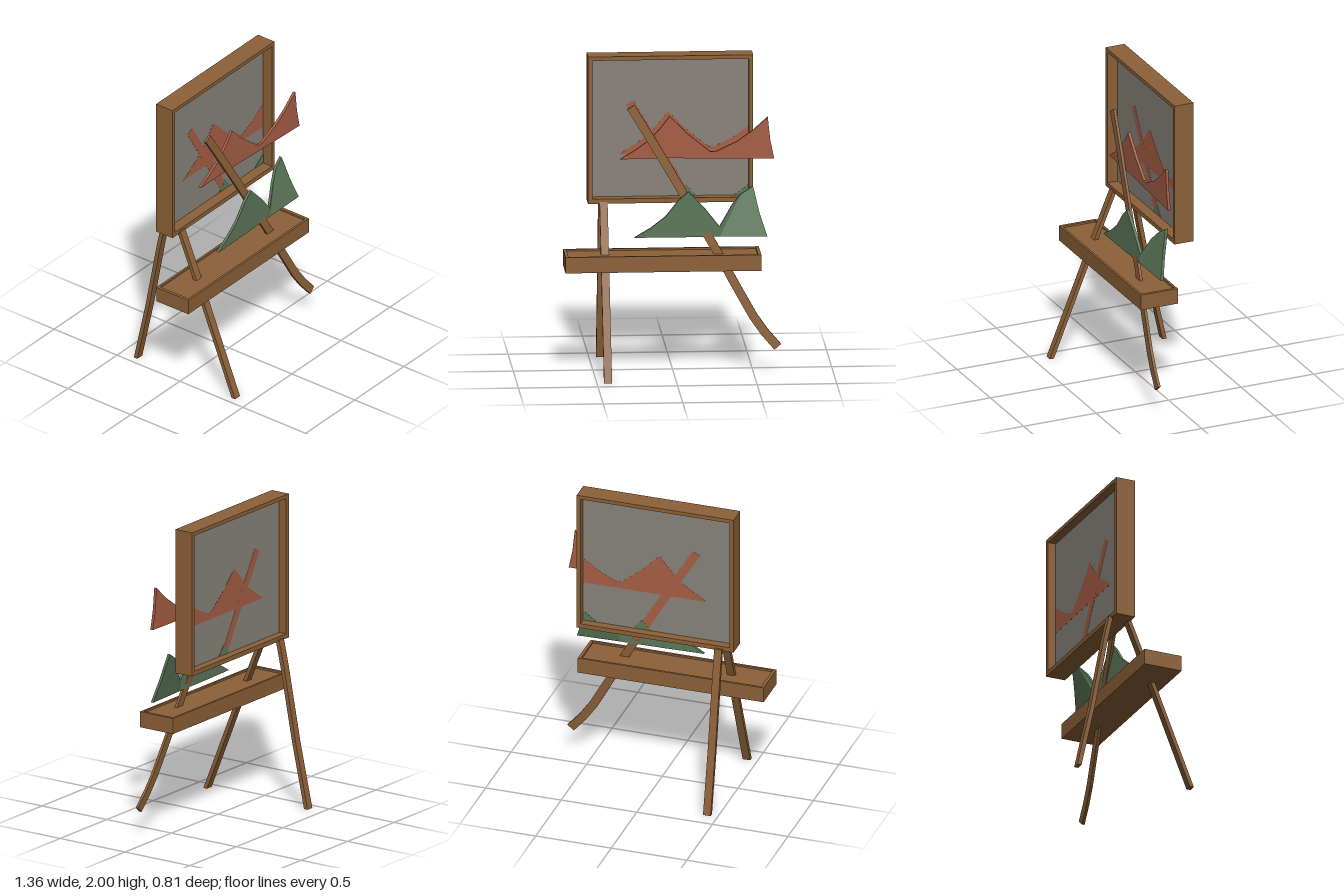
import * as THREE from 'three';

const mat = (name, color) => {
  const m = new THREE.MeshStandardMaterial({ color });
  m.name = name;
  return m;
};

// Closed outline extruded along z, centred on z = 0, then each point shifted in z by a rule
function slab(points, thickness, shift = () => 0, hole = null) {
  const shape = new THREE.Shape(points.map(([x, y]) => new THREE.Vector2(x, y)));
  if (hole) shape.holes.push(new THREE.Path(hole.map(([x, y]) => new THREE.Vector2(x, y))));
  const geo = new THREE.ExtrudeGeometry(shape, { depth: thickness, bevelEnabled: false });
  const p = geo.attributes.position;
  for (let i = 0; i < p.count; i++) {
    p.setZ(i, p.getZ(i) - thickness / 2 + shift(p.getX(i), p.getY(i)));
  }
  geo.computeVertexNormals();
  return geo;
}

// Outline of a band around a centre line; ends are level or square to the line
function band(line, width, level) {
  const a = [], b = [];
  line.forEach(([x, y], i) => {
    const [x0, y0] = line[Math.max(i - 1, 0)];
    const [x1, y1] = line[Math.min(i + 1, line.length - 1)];
    const len = Math.hypot(x1 - x0, y1 - y0);
    const nx = level ? 1 : (y0 - y1) / len;
    const ny = level ? 0 : (x1 - x0) / len;
    a.push([x + nx * width / 2, y + ny * width / 2]);
    b.unshift([x - nx * width / 2, y - ny * width / 2]);
  });
  return a.concat(b);
}

const rect = (x0, y0, x1, y1) => [[x0, y0], [x1, y0], [x1, y1], [x0, y1]];

export function createModel() {
  const group = new THREE.Group();
  const wood = mat('wood', 0x8c6138);
  const grey = mat('grey panel', 0x88837b);
  const red = mat('terracotta', 0xa75e45);
  const green = mat('sage green', 0x5d7859);
  const add = (name, geo, material, x = 0, y = 0, z = 0) => {
    const mesh = new THREE.Mesh(geo, material);
    mesh.name = name;
    mesh.position.set(x, y, z);
    group.add(mesh);
    return mesh;
  };

  // Deep picture frame with a thin panel set inside
  const inner = rect(-0.5, 1.088, 0.485, 1.975);
  add('frame', slab(rect(-0.528, 1.058, 0.51, 2), 0.13, undefined, inner), wood, 0, 0, -0.102);
  const panelZ = -0.11;
  add('panel', slab(inner, 0.006), grey, 0, 0, panelZ);

  // Painted shapes showing on both faces of the panel
  const redPaint = [
    [-0.33, 1.357], [0.485, 1.357], [0.485, 1.53], [0.38, 1.455], [0.27, 1.402],
    [0.235, 1.402], [0.1, 1.51], [-0.02, 1.63], [-0.15, 1.475]
  ];
  add('paintedHills', slab(redPaint, 0.008), red, 0, 0, panelZ);
  add('paintedStroke', slab(band([[-0.263, 1.69], [0, 1.25], [0.09, 1.092]], 0.055), 0.0084), red, 0, 0, panelZ);
  add('paintedLeftPeak', slab([[0.035, 1.09], [0.152, 1.09], [0.095, 1.155]], 0.0095), green, 0, 0, panelZ);
  add('paintedRightPeak', slab([[0.395, 1.09], [0.485, 1.09], [0.485, 1.155]], 0.0095), green, 0, 0, panelZ);

  // Front and rear legs, drawn in the side plane and turned
  const legs = {
    frontLeg: [[-0.045, 1.07], [0.1, 0.72], [0.39, 0]],
    rearLeg: [[-0.168, 1.07], [-0.205, 0.9], [-0.295, 0.42], [-0.387, 0]]
  };
  for (const [name, line] of Object.entries(legs)) {
    const geo = slab(band(line, 0.028, true), 0.05);
    geo.rotateY(-Math.PI / 2);
    add(name, geo, wood, -0.43);
  }

  // Shallow tray: solid base and a low rim
  const w = 1.23, d = 0.255;
  add('trayBase', new THREE.BoxGeometry(w, 0.09, d), wood, -0.07, 0.713, 0.084);
  const rim = slab(rect(-w / 2, -d / 2, w / 2, d / 2), 0.012, undefined,
    rect(-w / 2 + 0.02, -d / 2 + 0.015, w / 2 - 0.02, d / 2 - 0.015));
  rim.rotateX(-Math.PI / 2);
  add('trayRim', rim, wood, -0.07, 0.764, 0.084);

  // Slanting pole that bends outward at the foot
  const poleLine = [
    [-0.263, 1.69], [-0.15, 1.505], [0, 1.25], [0.27, 0.78],
    [0.38, 0.575], [0.5, 0.36], [0.57, 0.26], [0.652, 0.165]
  ];
  add('pole', slab(band(poleLine, 0.055), 0.018, (x, y) => 0.145 - 0.073 * (y - 0.16)), wood);

  // Upper pennant with two peaks
  const upper = [
    [-0.33, 1.355], [-0.05, 1.362], [0.25, 1.358], [0.635, 1.355], [0.61, 1.48], [0.595, 1.622],
    [0.5, 1.535], [0.4, 1.465], [0.27, 1.402], [0.235, 1.402], [0.1, 1.51], [-0.02, 1.63],
    [-0.08, 1.55], [-0.15, 1.475], [-0.24, 1.41]
  ];
  add('upperPennant', slab(upper, 0.018, x => 0.022 + 0.036 * (x + 0.33)), red);

  // Lower pennant, its right peak leaning back
  const lower = [
    [-0.245, 0.868], [0, 0.866], [0.29, 0.866], [0.59, 0.863], [0.545, 1.0], [0.505, 1.172],
    [0.43, 1.125], [0.37, 1.06], [0.29, 0.93], [0.2, 1.045], [0.095, 1.157], [0.03, 1.1],
    [-0.05, 1.0], [-0.14, 0.93]
  ];
  const lean = (x, y) => 0.1 - 0.018 * (x + 0.245) -
    Math.min(1, Math.max(0, (x - 0.29) / 0.1)) * (y - 0.865) * 0.23;
  add('lowerPennant', slab(lower, 0.018, lean), green);

  return group;
}
